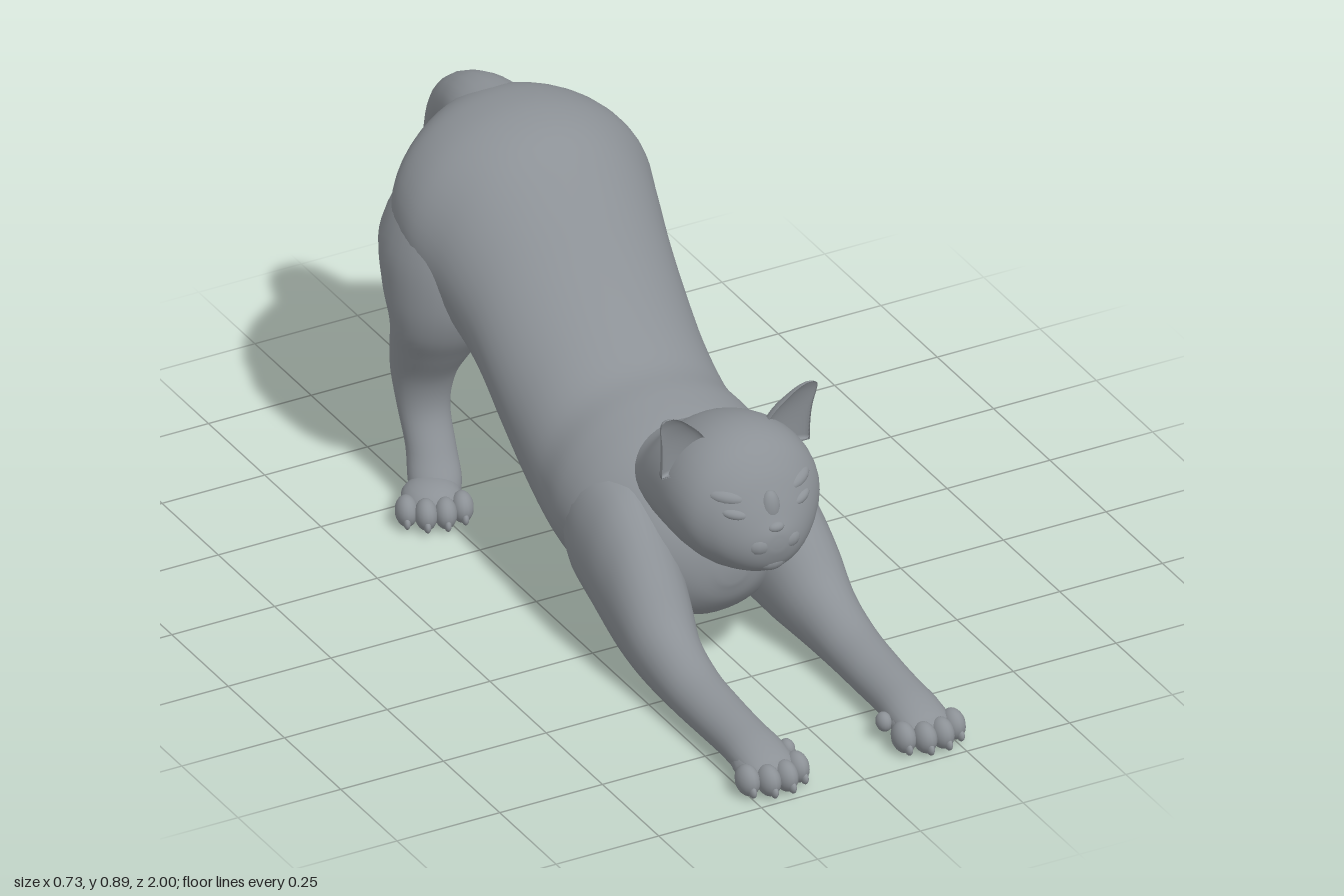
import * as THREE from 'three';

const fur = new THREE.MeshStandardMaterial({ color: 0x8c9196 });
fur.name = 'grey fur';

// Smooth closed skin through rows of [x, y, z, halfWidth, halfDepth].
// dir is the [y, z] facing of the rings; without it they follow the path.
// cup scales the front half of every ring (negative makes it hollow).
function loft(name, rows, { dir = null, side = 1, cup = 1, seg = 32, steps = 5 } = {}) {
  const centres = new THREE.CatmullRomCurve3(
    rows.map(r => new THREE.Vector3(r[0] * side, r[1], r[2])), false, 'catmullrom');
  const radii = new THREE.CatmullRomCurve3(
    rows.map(r => new THREE.Vector3(r[3], r[4], 0)), false, 'catmullrom');
  const n = (rows.length - 1) * steps;
  const pos = [], idx = [];
  for (let i = 0; i <= n; i++) {
    const c = centres.getPoint(i / n), r = radii.getPoint(i / n);
    let d = dir;
    if (!d) {
      const t = centres.getTangent(i / n), l = Math.hypot(t.y, t.z);
      d = [t.y / l, t.z / l];
    }
    for (let j = 0; j < seg; j++) {
      const a = j / seg * Math.PI * 2;
      const s = Math.sin(a) * (Math.sin(a) < 0 ? cup : 1) * Math.max(r.y, 0);
      pos.push(c.x + Math.cos(a) * Math.max(r.x, 0), Math.max(0, c.y + s * d[1]), c.z - s * d[0]);
      if (i < n) {
        const k = (j + 1) % seg, p = i * seg;
        idx.push(p + j, p + k, p + seg + k, p + j, p + seg + k, p + seg + j);
      }
    }
  }
  // end caps
  for (const i of [0, n]) {
    const c = centres.getPoint(i / n), m = pos.length / 3;
    pos.push(c.x, c.y, c.z);
    for (let j = 0; j < seg; j++) {
      const a = i * seg + j, b = i * seg + (j + 1) % seg;
      idx.push(m, ...(i ? [a, b] : [b, a]));
    }
  }
  const geo = new THREE.BufferGeometry();
  geo.setAttribute('position', new THREE.Float32BufferAttribute(pos, 3));
  geo.setIndex(idx);
  geo.computeVertexNormals();
  const mesh = new THREE.Mesh(geo, fur);
  mesh.name = name;
  return mesh;
}

// Rows given as [z, top, bottom, halfWidth, x]
const slices = list => list.map(([z, top, bot, w, x = 0]) =>
  [x, (top + bot) / 2, z, w, (top - bot) / 2]);

function blob(name, x, y, z, rx, ry, rz, turn = 0, roll = 0) {
  const mesh = new THREE.Mesh(new THREE.SphereGeometry(1, 16, 12), fur);
  mesh.name = name;
  mesh.position.set(x, y, z);
  mesh.scale.set(rx, ry, rz);
  mesh.rotation.set(0, turn, roll);
  return mesh;
}

// Paw with a pad and four toes, pointing along +z before turning
function paw(name, x, z, turn) {
  const g = new THREE.Group();
  g.name = name;
  g.add(blob('pawPad', 0, 0.042, -0.015, 0.066, 0.042, 0.07));
  [-0.06, -0.021, 0.021, 0.06].forEach((tx, i) => {
    const tz = i === 0 || i === 3 ? 0.028 : 0.05;
    g.add(blob('toe', tx, 0.037, tz, 0.025, 0.035, 0.036));
    g.add(blob('claw', tx * 1.05, 0.022, tz + 0.028, 0.008, 0.014, 0.014));
  });
  g.position.set(x, 0, z);
  g.rotation.y = turn;
  return g;
}

export function createModel() {
  const cat = new THREE.Group();
  cat.name = 'stretchingCat';

  // Torso from chest to rump
  cat.add(loft('torso', slices([
    [0.42, 0.25, 0.19, 0.03], [0.395, 0.33, 0.13, 0.11], [0.33, 0.40, 0.075, 0.19],
    [0.2, 0.465, 0.06, 0.245], [0.1, 0.493, 0.052, 0.257], [0, 0.513, 0.06, 0.245],
    [-0.1, 0.585, 0.10, 0.24], [-0.2, 0.675, 0.18, 0.243], [-0.3, 0.775, 0.275, 0.25],
    [-0.4, 0.857, 0.35, 0.27], [-0.5, 0.886, 0.41, 0.295], [-0.6, 0.883, 0.46, 0.275],
    [-0.67, 0.862, 0.54, 0.205], [-0.71, 0.83, 0.62, 0.12], [-0.725, 0.77, 0.70, 0.03],
  ]), { dir: [0, -1], seg: 48 }));

  // Tail hanging behind
  cat.add(loft('tail', [
    [0, 0.785, -0.62, 0.12, 0.09], [0, 0.785, -0.72, 0.085, 0.078], [0, 0.74, -0.805, 0.065, 0.066],
    [0, 0.62, -0.85, 0.055, 0.054], [0, 0.47, -0.855, 0.05, 0.052], [0, 0.36, -0.885, 0.045, 0.047],
    [0, 0.28, -0.94, 0.038, 0.038], [0, 0.248, -0.98, 0.028, 0.026], [0, 0.24, -0.997, 0.008, 0.008],
  ], { seg: 20 }));

  // Head and neck
  cat.add(loft('head', slices([
    [0.12, 0.45, 0.33, 0.10], [0.17, 0.468, 0.30, 0.125], [0.23, 0.497, 0.285, 0.14],
    [0.3, 0.555, 0.28, 0.155], [0.38, 0.588, 0.28, 0.168], [0.45, 0.595, 0.28, 0.172],
    [0.51, 0.577, 0.284, 0.16], [0.555, 0.535, 0.295, 0.128], [0.585, 0.485, 0.308, 0.094],
    [0.605, 0.442, 0.33, 0.062], [0.617, 0.415, 0.36, 0.03], [0.62, 0.395, 0.38, 0.008],
  ]), { dir: [0, 1], seg: 40 }));

  // Nose, chin and the bridge between the eyes
  cat.add(blob('nose', 0, 0.424, 0.607, 0.02, 0.012, 0.013));
  cat.add(blob('noseBridge', 0, 0.455, 0.58, 0.024, 0.045, 0.022));
  cat.add(blob('chin', 0, 0.335, 0.583, 0.038, 0.026, 0.026));

  for (const s of [1, -1]) {
    const side = s > 0 ? 'left' : 'right';

    // Muzzle and eyelids
    cat.add(blob(side + 'Muzzle', s * 0.03, 0.385, 0.592, 0.036, 0.028, 0.027));
    cat.add(blob(side + 'Eyelid', s * 0.08, 0.458, 0.57, 0.03, 0.013, 0.014, s * 0.5, s * 0.2));
    cat.add(blob(side + 'Brow', s * 0.085, 0.49, 0.543, 0.045, 0.018, 0.022, s * 0.6, s * 0.15));

    // Hollow ear
    cat.add(loft(side + 'Ear', [
      [0.118, 0.50, 0.43, 0.062, 0.05], [0.122, 0.55, 0.433, 0.058, 0.046],
      [0.135, 0.59, 0.437, 0.048, 0.038], [0.155, 0.625, 0.443, 0.034, 0.026],
      [0.167, 0.645, 0.448, 0.022, 0.016], [0.171, 0.653, 0.449, 0.008, 0.006],
    ], { dir: [1, 0], side: s, cup: -0.35, seg: 24 }));

    // Stretched foreleg
    cat.add(loft(side + 'Foreleg', slices([
      [0.05, 0.34, 0.18, 0.05, 0.15], [0.13, 0.39, 0.10, 0.095, 0.16], [0.25, 0.385, 0.05, 0.107, 0.163],
      [0.34, 0.335, 0.02, 0.095, 0.175], [0.42, 0.26, 0.01, 0.084, 0.184], [0.5, 0.178, 0.006, 0.07, 0.19],
      [0.6, 0.132, 0.005, 0.063, 0.192], [0.7, 0.115, 0.004, 0.06, 0.191], [0.8, 0.106, 0.003, 0.058, 0.19],
      [0.88, 0.096, 0.003, 0.062, 0.189], [0.94, 0.075, 0.01, 0.055, 0.189], [0.96, 0.05, 0.03, 0.02, 0.189],
    ]), { dir: [0, 1], side: s, seg: 24 }));
    cat.add(paw(side + 'FrontPaw', s * 0.19, 0.91, 0));
    cat.add(blob(side + 'Dewclaw', s * 0.118, 0.045, 0.872, 0.017, 0.022, 0.022));

    // Hind leg from haunch to ankle
    cat.add(loft(side + 'HindLeg', [
      [0.14, 0.77, -0.53, 0.06, 0.08], [0.155, 0.71, -0.535, 0.115, 0.135], [0.178, 0.61, -0.535, 0.135, 0.164],
      [0.197, 0.51, -0.515, 0.124, 0.144], [0.204, 0.43, -0.507, 0.11, 0.112], [0.21, 0.36, -0.535, 0.09, 0.096],
      [0.216, 0.28, -0.563, 0.07, 0.075], [0.222, 0.2, -0.552, 0.058, 0.054], [0.226, 0.12, -0.513, 0.055, 0.052],
      [0.236, 0.06, -0.477, 0.058, 0.058], [0.242, 0.012, -0.463, 0.05, 0.052], [0.242, 0.003, -0.46, 0.03, 0.03],
    ], { dir: [-1, 0], side: s, seg: 28 }));
    cat.add(paw(side + 'HindPaw', s * 0.272, -0.422, s * 0.35));
  }
  return cat;
}
